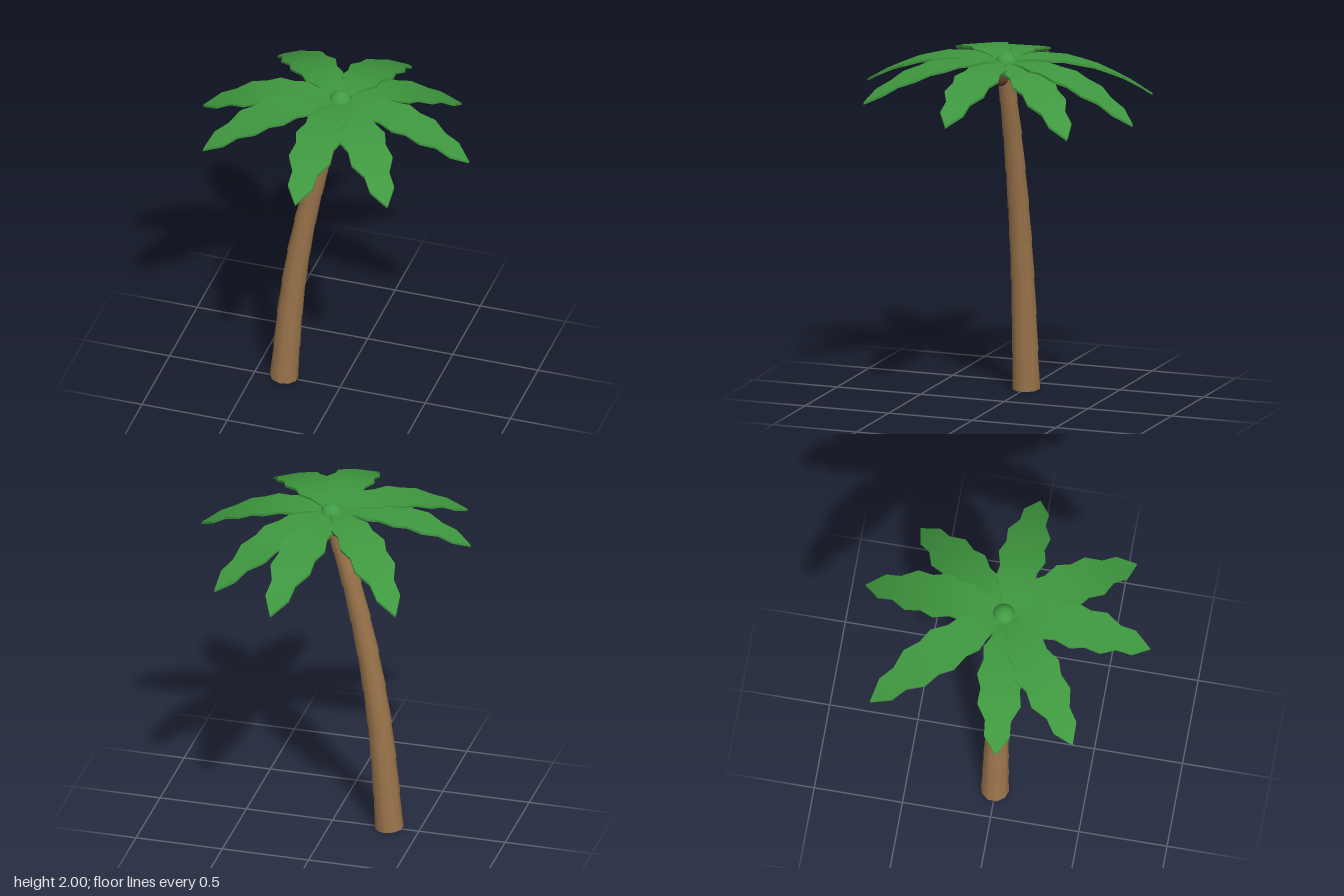
import * as THREE from 'three';
import { toCreasedNormals } from 'three/addons/utils/BufferGeometryUtils.js';

const mat = (name, color) => {
  const m = new THREE.MeshStandardMaterial({ color });
  m.name = name;
  return m;
};

// Frond outline: [fraction of length, half width], toothed edges
const OUTLINE = [
  [0, 0.03], [0.1, 0.05], [0.19, 0.075], [0.27, 0.112], [0.36, 0.105], [0.47, 0.135],
  [0.565, 0.11], [0.675, 0.122], [0.78, 0.073], [0.885, 0.072], [1, 0.001],
];

// Arched flat leaf along +z that ends at the given height difference
function frondGeometry(length, drop) {
  const bend = 0.52, thick = 0.014;
  const rise = (drop + bend * length * length) / length;
  const pos = [], index = [];
  OUTLINE.forEach(([u, w], i) => {
    const z = u * length;
    const y = rise * z - bend * z * z;
    pos.push(w, y, z, -w, y, z, -w, y - thick, z, w, y - thick, z);
    if (i === 0) return;
    for (let j = 0; j < 4; j++) {
      const k = (j + 1) % 4, p = (i - 1) * 4, q = i * 4;
      index.push(p + j, p + k, q + k, p + j, q + k, q + j);
    }
  });
  const g = new THREE.BufferGeometry();
  g.setAttribute('position', new THREE.Float32BufferAttribute(pos, 3));
  g.setIndex(index);
  return toCreasedNormals(g, 0.6);
}

export function createModel() {
  const bark = mat('bark brown', 0x9b744b);
  const leaf = mat('leaf green', 0x3f983f);
  const budGreen = mat('bud green', 0x429c46);
  const nut = mat('coconut brown', 0x5e3a28);

  const model = new THREE.Group();
  model.name = 'palmTree';
  const add = (parent, name, geometry, material) => {
    const mesh = new THREE.Mesh(geometry, material);
    mesh.name = name;
    parent.add(mesh);
    return mesh;
  };

  // Leaning trunk of tapered, overlapping segments
  const trunk = new THREE.Group();
  trunk.name = 'trunk';
  model.add(trunk);
  const curve = new THREE.CatmullRomCurve3([
    [-0.33, 0.011], [-0.28, 0.6], [-0.213, 1.05], [-0.115, 1.5], [-0.045, 1.75], [0, 1.93],
  ].map(([x, y]) => new THREE.Vector3(x, y, -0.005)));
  const COUNT = 9, up = new THREE.Vector3(0, 1, 0);
  for (let i = 0; i < COUNT; i++) {
    const a = curve.getPointAt(i / COUNT), b = curve.getPointAt((i + 1) / COUNT);
    const axis = b.clone().sub(a);
    const r = 0.08 - 0.0035 * i;
    const seg = add(trunk, 'trunkSegment', new THREE.CylinderGeometry(r - 0.008, r, axis.length() + 0.01, 10), bark);
    seg.position.copy(a).add(b).multiplyScalar(0.5);
    seg.quaternion.setFromUnitVectors(up, axis.normalize());
  }

  // Crown of eight fronds, each given by its tip [x, y, z]
  const crown = new THREE.Group();
  crown.name = 'crown';
  model.add(crown);
  [
    [0.775, 1.74, 0.057], [0.49, 1.765, 0.655], [0, 1.785, 0.817], [-0.645, 1.805, 0.49],
    [-0.777, 1.805, 0.077], [-0.553, 1.705, -0.675], [0.135, 1.683, -0.82], [0.525, 1.665, -0.577],
  ].forEach(([x, y, z], i) => {
    const baseY = 1.948 + (i % 2) * 0.003;
    const frond = add(crown, 'frond', frondGeometry(Math.hypot(x, z), y - baseY), leaf);
    frond.position.y = baseY;
    frond.rotation.y = Math.atan2(x, z);
  });

  // Round bud on top
  add(model, 'bud', new THREE.SphereGeometry(0.068, 12, 8), budGreen).position.set(0, 1.932, -0.013);

  // Three coconuts under the crown
  for (let i = 0; i < 3; i++) {
    const t = THREE.MathUtils.degToRad(235 + i * 120);
    add(model, 'coconut', new THREE.SphereGeometry(0.04, 10, 8), nut)
      .position.set(-0.005 + Math.cos(t) * 0.08, 1.865, Math.sin(t) * 0.08);
  }
  return model;
}
